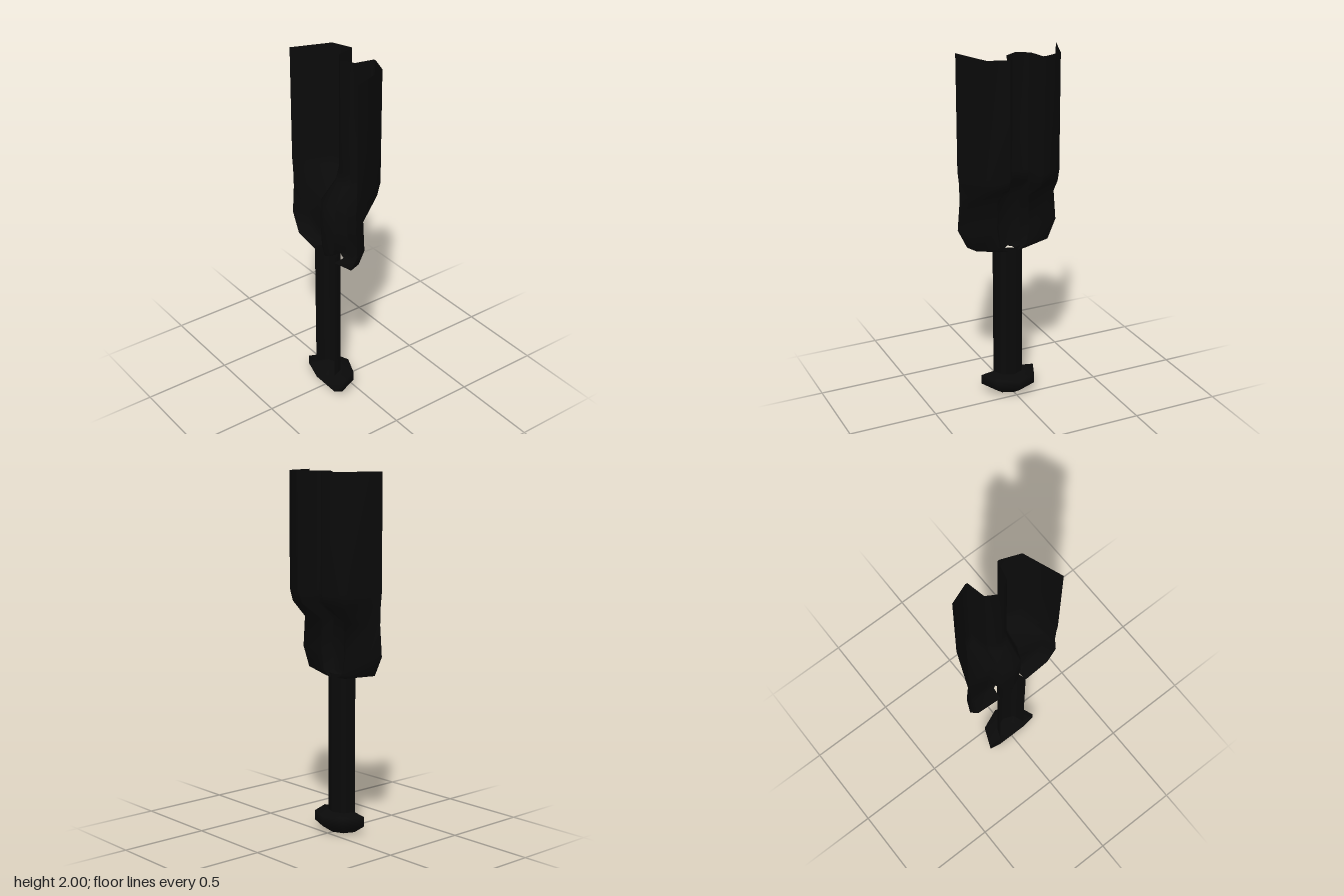
import * as THREE from 'three';

const FRONT = 0.125;

// Half of the cross-section, from the front rim round the lobe to the centre groove
const deep = [[0.29, FRONT], [0.21, -0.088], [0.1, -0.13], [0.09, -0.127], [0.068, -0.025], [0.055, -0.018], [0, 0.015]];
const shallow = [[0.29, FRONT], [0.26, 0.055], [0.1, 0.04], [0.09, 0.042], [0.07, 0.097], [0.06, 0.104], [0, 0.124]];

// Levels: height, blend from deep to shallow, width factor
const levels = [
  [2, 0, 1], [1.36, 0, 1], [1.29, 0.16, 0.975], [1.19, 1, 0.965],
  [1.02, 1, 1.015], [0.91, 1, 0.83], [0.88, 1, 0.31],
];

function section([y, t, w]) {
  const half = deep.map(([x, z], i) => [
    THREE.MathUtils.lerp(x, shallow[i][0], t) * w, y,
    THREE.MathUtils.lerp(z, shallow[i][1], t),
  ]);
  const mirrored = half.slice(0, -1).reverse().map(([x, yy, z]) => [-x, yy, z]);
  return [...half, ...mirrored];
}

// Open-fronted shell lofted through the levels
function shellGeometry() {
  const rings = levels.map(section);
  const n = rings[0].length;
  const index = [];
  for (let j = 0; j < rings.length - 1; j++) {
    for (let i = 0; i < n - 1; i++) {
      const a = j * n + i, b = a + n;
      index.push(a, b, a + 1, a + 1, b, b + 1);
    }
  }
  const geo = new THREE.BufferGeometry();
  geo.setAttribute('position', new THREE.Float32BufferAttribute(rings.flat(2), 3));
  geo.setIndex(index);
  geo.computeVertexNormals();
  return geo;
}

// Back half of an eight-sided turned part
function halfLathe(points) {
  const profile = points.map(([r, y]) => new THREE.Vector2(r, y));
  return new THREE.LatheGeometry(profile, 4, Math.PI / 2, Math.PI).translate(0, 0, FRONT);
}

export function createModel() {
  const group = new THREE.Group();
  const black = new THREE.MeshStandardMaterial({ color: 0x0a0a0a, side: THREE.DoubleSide });
  black.name = 'black';

  const add = (name, geo) => {
    const mesh = new THREE.Mesh(geo, black);
    mesh.name = name;
    group.add(mesh);
  };

  add('body', shellGeometry());
  add('shaft', halfLathe([[0.088, 0.115], [0.088, 0.9]]));
  add('foot', halfLathe([[0, 0], [0.088, 0], [0.163, 0.05], [0.163, 0.105], [0.088, 0.115]]));
  return group;
}
